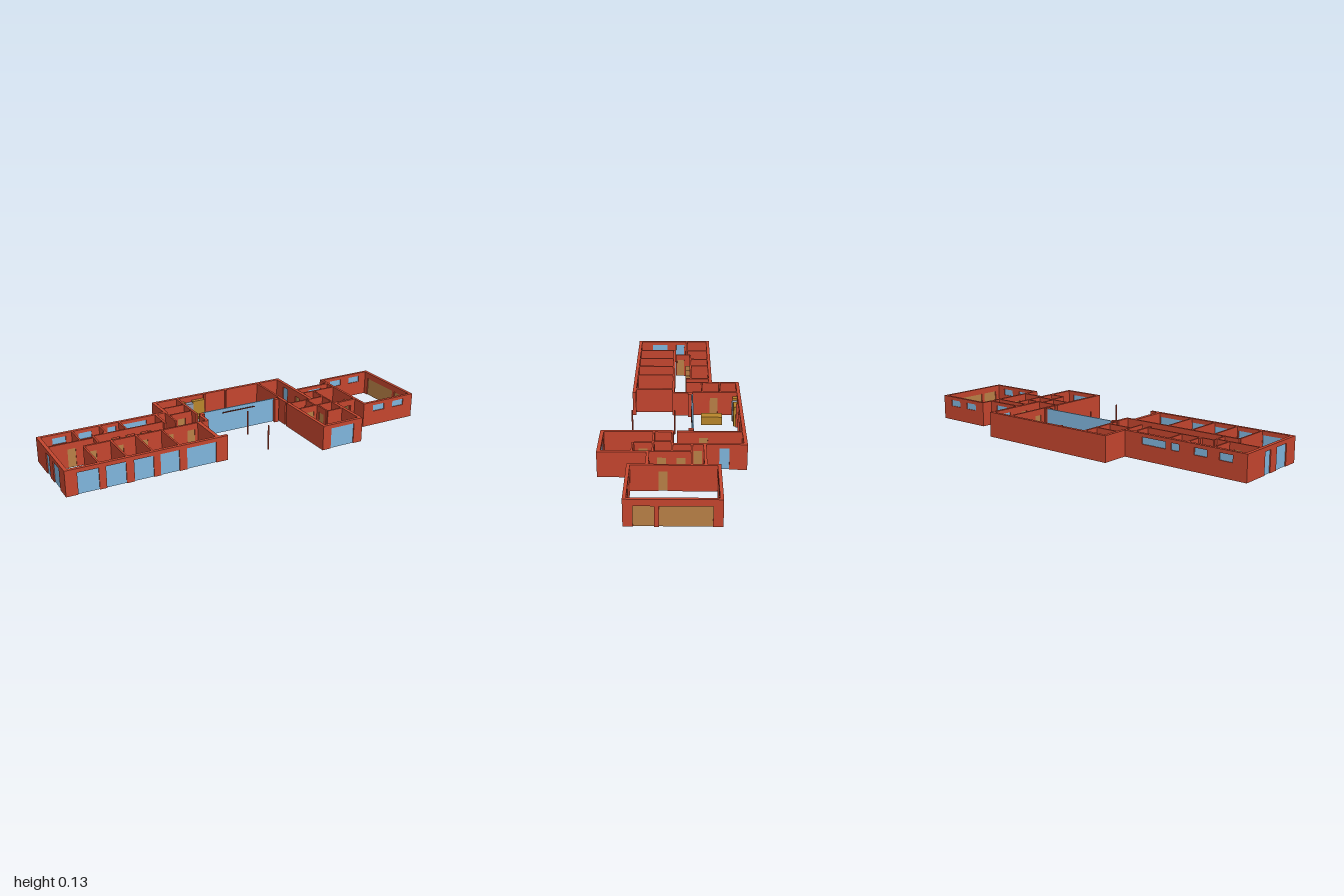
import * as THREE from 'three';

const H = 0.133;   // wall height
const T = 0.018;   // outer wall thickness
const P = 0.009;   // partition thickness
const mat = (color) => new THREE.MeshStandardMaterial({ color });

export function createModel() {
  const model = new THREE.Group();
  const brick = mat(0xc4452e), glass = mat(0x7fb5dc), wood = mat(0xb98046);
  const gold = mat(0xb8862b), steel = mat(0x8f9bb0), dark = mat(0x4a1c14);

  // Box given by its min and max corners
  function box(name, material, x0, x1, y0, y1, z0, z1, parent = model) {
    const m = new THREE.Mesh(new THREE.BoxGeometry(x1 - x0, y1 - y0, z1 - z0), material);
    m.position.set((x0 + x1) / 2, (y0 + y1) / 2, (z0 + z1) / 2);
    m.name = name;
    parent.add(m);
  }

  // Wall along 'x' or 'z' at centre line c from a to b; openings are [from, to, bottom, top, filling]
  function wall(name, axis, c, a, b, t = T, openings = []) {
    const g = new THREE.Group();
    g.name = name;
    model.add(g);
    const piece = (n, m, u0, u1, y0, y1, w) => {
      if (u1 - u0 < 1e-4 || y1 - y0 < 1e-4) return;
      if (axis === 'x') box(n, m, u0, u1, y0, y1, c - w / 2, c + w / 2, g);
      else box(n, m, c - w / 2, c + w / 2, y0, y1, u0, u1, g);
    };
    let u = a;
    for (const [o0, o1, y0, y1, fill] of openings) {
      piece('pier', brick, u, o0, 0, H, t);
      piece('sill', brick, o0, o1, 0, y0, t);
      piece('lintel', brick, o0, o1, y1, H, t);
      if (fill) piece(fill === glass ? 'pane' : 'door', fill, o0, o1, y0, y1, t * 0.4);
      u = o1;
    }
    piece('pier', brick, u, b, 0, H, t);
  }
  const tall = (a, b) => [a, b, 0, 0.112, glass];
  const high = (a, b) => [a, b, 0.08, 0.115, glass];
  const door = (a, b = a + 0.042) => [a, b, 0, 0.1, wood];
  const gap = (a, b) => [a, b, 0, 0.1, null];

  // Bedroom wing, outer walls
  wall('bedroomFrontWall', 'x', 0.214, -1, -0.16, T,
    [tall(-0.94, -0.835), tall(-0.8, -0.7), tall(-0.66, -0.56), tall(-0.525, -0.425), tall(-0.385, -0.225)]);
  wall('bedroomBackWall', 'x', -0.199, -1, -0.3, T,
    [high(-0.925, -0.855), high(-0.79, -0.72), high(-0.635, -0.59), high(-0.56, -0.42)]);
  wall('bedroomEndWall', 'z', -0.991, -0.19, 0.205, T, [tall(-0.055, -0.005), tall(0.05, 0.14)]);

  // Bedroom wing, partitions
  wall('corridorWall', 'x', 0.003, -0.83, -0.16, 0.012,
    [door(-0.81), door(-0.67), door(-0.54), door(-0.4), door(-0.28)]);
  for (const x of [-0.83, -0.69, -0.56, -0.42]) wall('bedroomPartition', 'z', x, 0.009, 0.205, P);
  wall('bedroomInnerEnd', 'z', -0.212, 0.009, 0.205, 0.02);
  wall('masterRoomWall', 'x', -0.069, -0.982, -0.75, P, [door(-0.89)]);
  wall('masterDoorWall', 'z', -0.75, -0.09, -0.005, P, [door(-0.055)]);
  wall('bathroomWall', 'x', -0.091, -0.75, -0.37, P, [gap(-0.65, -0.61), gap(-0.575, -0.53), gap(-0.495, -0.455)]);
  for (const x of [-0.82, -0.675, -0.57]) wall('bathroomPartition', 'z', x, -0.19, x < -0.8 ? -0.073 : -0.095, P);
  wall('corridorCrossWall', 'z', -0.366, -0.19, -0.065, 0.012);
  box('bathroomPillar', brick, -0.69, -0.672, 0, H, -0.112, -0.095);
  for (const x of [-0.65, -0.575, -0.495, -0.445]) box('openDoorLeaf', wood, x - 0.003, x + 0.003, 0, 0.1, -0.09, -0.062);

  // Living hall
  wall('hallBackWall', 'x', -0.347, -0.317, 0.475, T);
  wall('hallRightSide', 'z', -0.308, -0.338, -0.19, T);
  wall('hallRightPartition', 'z', -0.309, -0.19, -0.065, P);
  wall('hallLeftSide', 'z', 0.466, -0.338, 0.005, T, [tall(-0.27, -0.222), door(-0.14, -0.1)]);
  wall('pantryWall', 'x', -0.25, -0.3, -0.175, P);
  wall('storeWall', 'x', -0.152, -0.3, -0.18, P, [door(-0.26)]);
  wall('kitchenSideWall', 'z', -0.173, -0.338, -0.1, 0.012, [door(-0.235)]);
  wall('studyWall', 'z', 0.33, -0.338, -0.1, 0.012, [door(-0.17)]);
  wall('entryCheekRight', 'z', -0.164, -0.075, 0.003, 0.016);
  box('glazingPillar', brick, -0.162, -0.137, 0, H, -0.1, -0.075);
  box('glazingPillar', brick, 0.288, 0.312, 0, H, -0.1, -0.075);
  wall('entryCheekLeft', 'z', 0.328, -0.1, -0.02, 0.018);

  // Glazed hall front
  box('glassFront', glass, -0.14, 0.3, 0, H, -0.102, -0.095);
  box('glassRail', dark, -0.025, 0.17, 0.109, 0.114, -0.094, -0.09);
  for (const z of [-0.005, 0.212]) {
    const post = new THREE.Mesh(new THREE.CylinderGeometry(0.004, 0.004, H, 12), brick);
    post.position.set(0.078, H / 2, z);
    post.name = 'terracePost';
    model.add(post);
  }

  // Kitchen fittings
  box('kitchenCabinet', gold, -0.167, -0.135, 0, 0.11, -0.338, -0.315);
  box('kitchenCabinet', gold, -0.09, -0.02, 0, 0.11, -0.338, -0.315);
  box('kitchenAppliance', steel, -0.135, -0.09, 0, 0.1, -0.338, -0.31);
  box('kitchenIsland', gold, -0.09, -0.036, 0, 0.045, -0.255, -0.145);
  box('wallStub', brick, -0.018, -0.008, 0, H, -0.338, -0.326);
  box('wallStub', brick, 0.117, 0.127, 0, H, -0.338, -0.328);

  // Front guest block
  wall('guestFrontWall', 'x', 0.346, 0.317, 0.557, T, [tall(0.365, 0.505)]);
  wall('guestRightSide', 'z', 0.326, -0.005, 0.337, T);
  wall('guestLeftSide', 'z', 0.548, 0.11, 0.337, T);
  wall('guestInnerSide', 'z', 0.545, -0.09, 0.11, P, [door(-0.06), door(0.03)]);
  wall('guestCorridorWall', 'x', 0.003, 0.335, 0.54, P, [gap(0.425, 0.46)]);
  wall('guestRoomWall', 'x', 0.093, 0.335, 0.54, P, [door(0.385)]);
  wall('guestBathPartition', 'z', 0.437, 0.008, 0.088, P);
  wall('guestClosetSide', 'z', 0.45, 0.098, 0.185, P, [door(0.12)]);
  wall('guestClosetFront', 'x', 0.191, 0.45, 0.54, P);

  // Link between guest block and garage
  wall('linkBackWall', 'x', -0.153, 0.475, 0.68, 0.014, [high(0.55, 0.63)]);
  wall('linkInnerWall', 'x', -0.091, 0.475, 0.68, P, [door(0.49)]);
  wall('linkFrontWall', 'x', 0.115, 0.557, 0.68, 0.014, [gap(0.58, 0.65)]);

  // Garage
  const garageWindows = [high(0.735, 0.81), high(0.865, 0.938)];
  wall('garageFrontWall', 'x', 0.199, 0.675, 1, 0.016, garageWindows);
  wall('garageBackWall', 'x', -0.214, 0.675, 1, 0.016, garageWindows);
  wall('garageRightSide', 'z', 0.682, -0.206, 0.191, 0.014, [door(0.02)]);
  wall('garageLeftSide', 'z', 0.992, -0.206, 0.191, 0.016, [door(-0.178, 0.052), door(0.072, 0.163)]);

  return model;
}
